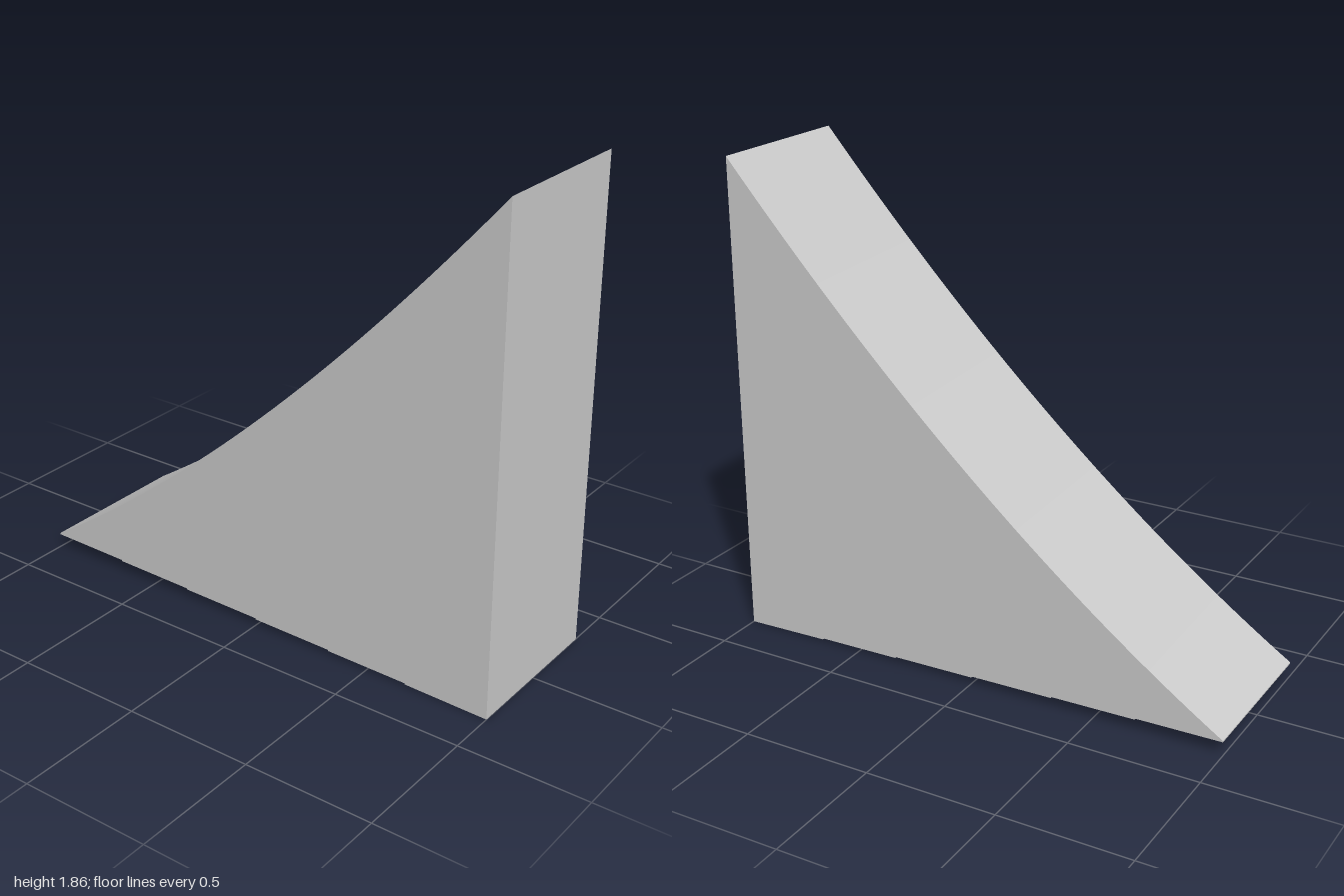
import * as THREE from 'three';
import { toCreasedNormals } from 'three/addons/utils/BufferGeometryUtils.js';

const DEPTH = 0.63;
const PANELS = 6;
const RAMP_STEPS = 48;

// height of the concave ramp at x
const rampHeight = (x) => 0.83 + 0.9 * x + 0.13 * x * x;

export function createModel() {
  const group = new THREE.Group();
  group.name = 'rampWedge';

  // underside: slightly sloping panels, each a small step below the last
  const shape = new THREE.Shape();
  shape.moveTo(-1, 0.055);
  for (let i = 0; i < PANELS; i++) {
    const x0 = -1 + (2 * i) / PANELS;
    const x1 = -1 + (2 * (i + 1)) / PANELS;
    const y0 = 0.055 - 0.0095 * i;
    if (i > 0) shape.lineTo(x0, y0);
    shape.lineTo(x1, y0 - (i === PANELS - 1 ? 0.0075 : 0.005));
  }

  // tall end, then the curved ramp back down to the thin tip
  for (let i = 0; i <= RAMP_STEPS; i++) {
    const x = 1 - (2 * i) / RAMP_STEPS;
    shape.lineTo(x, rampHeight(x));
  }
  shape.closePath();

  const geometry = new THREE.ExtrudeGeometry(shape, { depth: DEPTH, bevelEnabled: false });
  geometry.translate(0, 0, -DEPTH / 2);

  const wedge = new THREE.Mesh(
    toCreasedNormals(geometry, Math.PI / 6),
    new THREE.MeshStandardMaterial({ color: 0xcccccc })
  );
  wedge.name = 'curvedWedge';
  group.add(wedge);
  return group;
}
